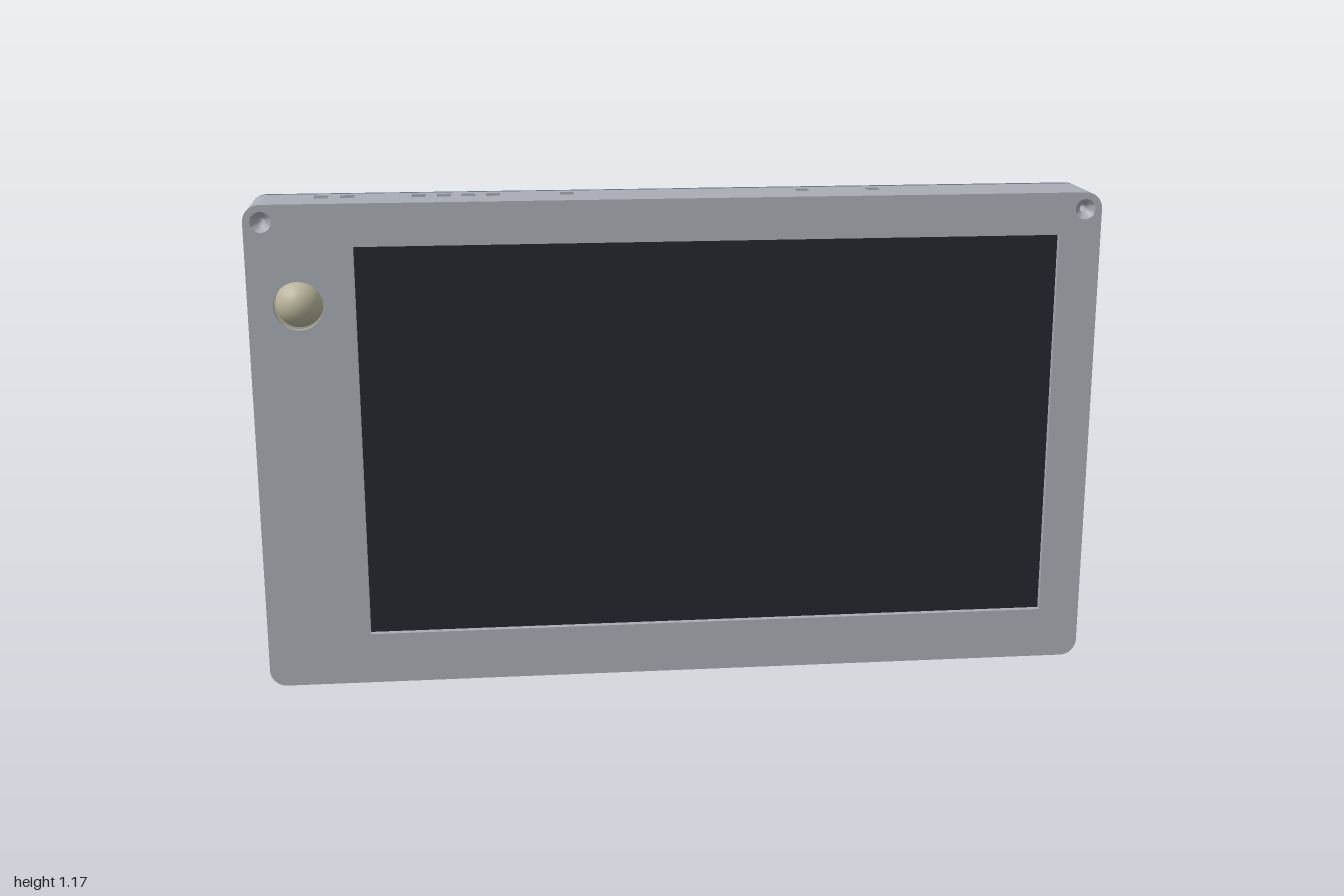
import * as THREE from 'three';
import { toCreasedNormals } from 'three/addons/utils/BufferGeometryUtils.js';

const H = 1.17, R = 0.04, WALL = 0.03;          // height, corner radius, wall thickness
const FRONT = 0.075, PLATE = 0.06;              // outer and inner face of the front plate
const BACK = -0.095, RIM = -0.08;               // outer and inner face of the back cover

const mat = (color) => new THREE.MeshStandardMaterial({ color });
const caseMat = mat(0xa9adb5);
const coverMat = mat(0x647382);
const screenMat = mat(0x23272d);
const sensorMat = mat(0xb9b59c);
const connectorMat = mat(0x35658f);
const boreMat = mat(0xa9adb5);
boreMat.side = THREE.DoubleSide;
const screwMat = mat(0x647382);
screwMat.side = THREE.DoubleSide;

function rectPath(x0, y0, x1, y1, P = THREE.Shape) {
  const p = new P();
  p.moveTo(x0, y0); p.lineTo(x1, y0); p.lineTo(x1, y1); p.lineTo(x0, y1); p.closePath();
  return p;
}

function circlePath(x, y, r) {
  return new THREE.Path().absarc(x, y, r, 0, Math.PI * 2, true);
}

function extrude(shape, depth) {
  const geo = new THREE.ExtrudeGeometry(shape, { depth, bevelEnabled: false, curveSegments: 12 });
  return toCreasedNormals(geo, 0.5);
}

export function createModel() {
  const model = new THREE.Group();
  model.name = 'tabletEnclosure';

  function add(name, geo, material, x = 0, y = 0, z = 0) {
    const mesh = new THREE.Mesh(geo, material);
    mesh.name = name;
    mesh.position.set(x, y, z);
    model.add(mesh);
    return mesh;
  }

  function box(name, x0, x1, y0, y1, z0, z1, material) {
    return add(name, new THREE.BoxGeometry(x1 - x0, y1 - y0, z1 - z0), material,
      (x0 + x1) / 2, (y0 + y1) / 2, (z0 + z1) / 2);
  }

  // Front plate with screen window, sensor hole and two corner screw holes
  const plate = new THREE.Shape();
  plate.absarc(1 - R, R, R, -Math.PI / 2, 0);
  plate.absarc(1 - R, H - R, R, 0, Math.PI / 2);
  plate.absarc(R - 1, H - R, R, Math.PI / 2, Math.PI);
  plate.absarc(R - 1, R, R, Math.PI, Math.PI * 1.5);
  plate.closePath();
  plate.holes.push(
    rectPath(-0.755, 0.125, 0.9, 1.07, THREE.Path),
    circlePath(-0.885, 0.935, 0.057),
    circlePath(1 - R, H - R, 0.024),
    circlePath(R - 1, H - R, 0.024));
  add('frontPlate', extrude(plate, FRONT - PLATE), caseMat, 0, 0, PLATE);

  // Top and bottom walls, each with the same row of vents
  const vents = [-0.83, -0.77, -0.605, -0.547, -0.49, -0.433, -0.26, 0.3, 0.47];
  const ventWall = rectPath(R - 1, RIM, 1 - R, PLATE);
  vents.forEach((x) => ventWall.holes.push(
    rectPath(x - 0.016, -0.057, x + 0.016, -0.013, THREE.Path)));
  const ventGeo = extrude(ventWall, WALL).rotateX(Math.PI / 2);
  add('topWall', ventGeo, caseMat, 0, H, 0);
  add('bottomWall', ventGeo, caseMat, 0, WALL, 0);

  // Side walls: a tall card slot on the left, a small port on the right
  function sideWall(name, x, y0, y1, z0, z1) {
    const shape = rectPath(-PLATE, R, -RIM, H - R);
    shape.holes.push(rectPath(-z1, y0, -z0, y1, THREE.Path));
    add(name, extrude(shape, WALL).rotateY(Math.PI / 2), caseMat, x, 0, 0);
  }
  sideWall('leftWallWithSlot', 1 - WALL, 0.055, 0.5, -0.005, 0.058);
  sideWall('rightWallWithPort', -1, 0.047, 0.12, -0.073, -0.023);

  // Rounded corners joining the walls
  const cornerShape = new THREE.Shape();
  cornerShape.absarc(0, 0, R, 0, Math.PI / 2);
  cornerShape.absarc(0, 0, R - WALL, Math.PI / 2, 0, true);
  cornerShape.closePath();
  const cornerGeo = extrude(cornerShape, PLATE - RIM);
  [[1, 1], [-1, 1], [-1, -1], [1, -1]].forEach(([sx, sy], i) => {
    const corner = add('corner', cornerGeo, caseMat,
      sx * (1 - R), sy > 0 ? H - R : R, RIM);
    corner.rotation.z = i * Math.PI / 2;
  });

  // Back cover in two halves, the left one very slightly proud at the seam
  const screws = {
    1: [[0.7, 1.135], [0.97, 0.588], [0.7, 0.028]],
    '-1': [[-0.69, 1.135], [-0.965, 0.588], [-0.69, 0.028]],
  };
  // Countersunk recess with a closed floor
  const recessGeo = new THREE.LatheGeometry([
    new THREE.Vector2(0, 0.012), new THREE.Vector2(0.007, 0.012), new THREE.Vector2(0.014, 0),
  ], 16).rotateX(Math.PI / 2);
  for (const s of [1, -1]) {
    const half = new THREE.Shape();
    half.moveTo(0, 0);
    half.lineTo(s * (1 - R), 0);
    const mid = s > 0 ? 0 : Math.PI;
    half.absarc(s * (1 - R), R, R, -Math.PI / 2, s > 0 ? mid : -mid, s < 0);
    half.absarc(s * (1 - R), H - R, R, mid, Math.PI / 2, s < 0);
    half.lineTo(0, H);
    half.closePath();
    half.holes.push(circlePath(s * (1 - R), H - R, 0.011));
    screws[s].forEach(([x, y]) => half.holes.push(circlePath(x, y, 0.014)));
    const outer = s > 0 ? BACK : BACK + 0.002;
    add(s > 0 ? 'leftBackCover' : 'rightBackCover', extrude(half, RIM - outer), coverMat, 0, 0, outer);
    screws[s].forEach(([x, y]) => add('coverScrewRecess', recessGeo, screwMat, x, y, outer));

    // Countersunk bore running from front to back at the top corner
    const bore = new THREE.LatheGeometry([
      new THREE.Vector2(0.0095, RIM), new THREE.Vector2(0.0095, PLATE),
      new THREE.Vector2(0.024, FRONT),
    ], 20).rotateX(Math.PI / 2);
    add('cornerScrewBore', toCreasedNormals(bore, 0.5), boreMat, s * (1 - R), H - R, 0);
  }

  // Display module behind the window
  box('screen', -0.8, 0.94, 0.04, 1.12, 0.01, PLATE - 0.001, screenMat);

  // Domed motion sensor and its housing
  add('sensorDome', new THREE.SphereGeometry(0.055, 32, 20), sensorMat, -0.885, 0.935, 0.04);
  add('sensorHousing', new THREE.CylinderGeometry(0.07, 0.07, 0.085, 32).rotateX(Math.PI / 2),
    sensorMat, -0.885, 0.935, -0.015);

  // Connector behind the side port
  box('portConnector', -0.95, -0.85, 0.035, 0.12, -0.075, 0.008, connectorMat);
  box('portSocket', -0.985, -0.95, 0.049, 0.118, -0.071, -0.025, screenMat);

  return model;
}
